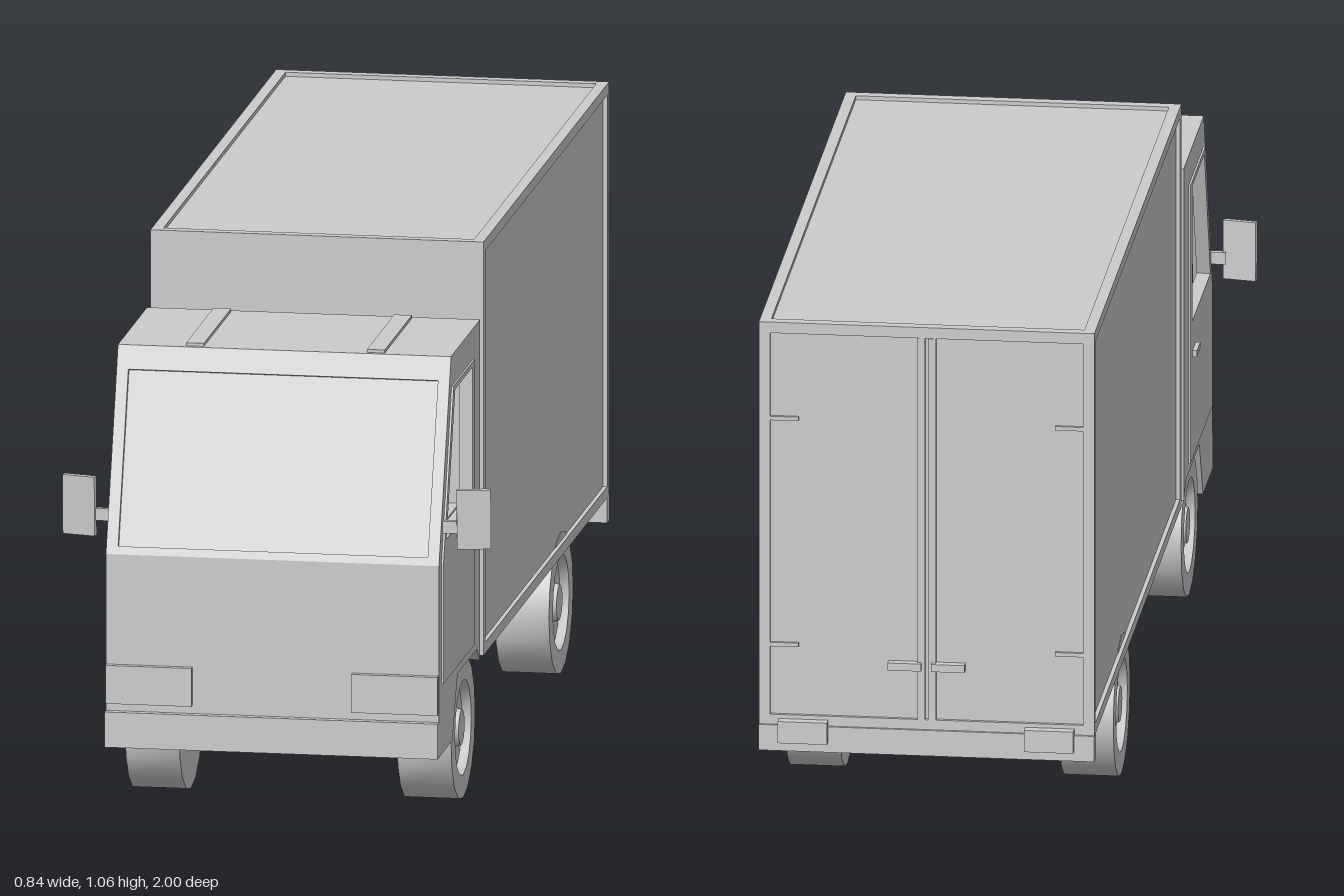
import * as THREE from 'three';
import { toCreasedNormals } from 'three/addons/utils/BufferGeometryUtils.js';

const material = new THREE.MeshStandardMaterial({ color: 0xcccccc });

function add(parent, name, geometry) {
  const mesh = new THREE.Mesh(geometry, material);
  mesh.name = name;
  parent.add(mesh);
  return mesh;
}

// Box given by its lower and upper limits on each axis
function box(parent, name, x0, x1, y0, y1, z0, z1) {
  const mesh = add(parent, name, new THREE.BoxGeometry(x1 - x0, y1 - y0, z1 - z0));
  mesh.position.set((x0 + x1) / 2, (y0 + y1) / 2, (z0 + z1) / 2);
  return mesh;
}

const points = (list) => list.map(([a, b]) => new THREE.Vector2(a, b));

// Side outline in (z, y), extruded across x from x0 to x1
function slab(parent, name, outline, x0, x1, hole) {
  const shape = new THREE.Shape(points(outline));
  if (hole) shape.holes.push(new THREE.Path(points(hole)));
  const geometry = new THREE.ExtrudeGeometry(shape, { depth: x1 - x0, bevelEnabled: false });
  geometry.rotateY(-Math.PI / 2).translate(x1, 0, 0);
  return add(parent, name, geometry);
}

// Flat rectangular border, centred, rising along +z
function frame(parent, name, w, h, border, depth) {
  const rect = (a, b) => points([[-a, -b], [a, -b], [a, b], [-a, b]]);
  const shape = new THREE.Shape(rect(w / 2, h / 2));
  shape.holes.push(new THREE.Path(rect(w / 2 - border, h / 2 - border)));
  return add(parent, name, new THREE.ExtrudeGeometry(shape, { depth, bevelEnabled: false }));
}

function buildCargo() {
  const cargo = new THREE.Group();
  cargo.name = 'cargoBox';
  box(cargo, 'cargoCore', -0.319, 0.319, 0.24, 1.052, -0.973, 0.47);

  // Raised borders around the side, roof and rear panels
  for (const s of [-1, 1]) {
    const side = frame(cargo, 'sideFrame', 1.45, 0.82, 0.022, 0.008);
    side.rotation.y = s * Math.PI / 2;
    side.position.set(s * 0.319, 0.65, -0.255);
  }
  const roof = frame(cargo, 'roofFrame', 0.654, 1.45, 0.022, 0.008);
  roof.rotation.x = -Math.PI / 2;
  roof.position.set(0, 1.052, -0.255);
  const rear = frame(cargo, 'rearFrame', 0.654, 0.82, 0.022, 0.008);
  rear.rotation.y = Math.PI;
  rear.position.set(0, 0.65, -0.972);

  // Rear doors: locking bars, handles and hinges
  for (const s of [-1, 1]) {
    const bar = (name, a, b, y0, y1, z0) =>
      box(cargo, name, Math.min(s * a, s * b), Math.max(s * a, s * b), y0, y1, z0, -0.97);
    bar('lockingBar', 0.003, 0.018, 0.262, 1.038, -0.981);
    bar('doorHandle', 0.01, 0.075, 0.363, 0.378, -0.99);
    for (const y of [0.4, 0.86]) bar('doorHinge', 0.25, 0.31, y, y + 0.008, -0.979);
  }
  return cargo;
}

function buildCab() {
  const cab = new THREE.Group();
  cab.name = 'cab';
  const arch = [[0.51, 0.24], [0.55, 0.27], [0.77, 0.27], [0.83, 0.15]];

  // Lower body with wheel arches, open above for the interior
  slab(cab, 'lowerBody', [...arch, [0.985, 0.15], [0.985, 0.53], [0.93, 0.53],
    [0.93, 0.46], [0.51, 0.46]], -0.305, 0.305);
  box(cab, 'rearWall', -0.306, 0.306, 0.44, 0.912, 0.51, 0.535);
  box(cab, 'roof', -0.306, 0.306, 0.89, 0.915, 0.51, 0.845);

  const sideOutline = [...arch, [0.985, 0.15], [0.985, 0.53], [0.845, 0.915], [0.51, 0.915]];
  const window = [[0.62, 0.57], [0.92, 0.57], [0.82, 0.845], [0.62, 0.845]];
  const door = [[0.59, 0.29], [0.955, 0.29], [0.955, 0.53], [0.838, 0.855], [0.59, 0.855]];
  for (const s of [-1, 1]) {
    const span = (a, b) => (s > 0 ? [a, b] : [-b, -a]);
    slab(cab, 'sidePanel', sideOutline, ...span(0.304, 0.327), window);
    slab(cab, 'door', door, ...span(0.326, 0.331), window);
    box(cab, 'doorHandle', ...span(0.327, 0.34), 0.497, 0.51, 0.62, 0.675);
    box(cab, 'roofStrip', ...span(0.16, 0.195), 0.91, 0.921, 0.52, 0.835);
    box(cab, 'headlight', ...span(0.157, 0.326), 0.236, 0.312, 0.97, 0.998);

    // Mirror on its arm
    box(cab, 'mirrorArm', ...span(0.32, 0.36), 0.586, 0.61, 0.93, 0.942);
    const mirror = add(cab, 'mirror', new THREE.BoxGeometry(0.066, 0.118, 0.012));
    mirror.position.set(s * 0.387, 0.615, 0.936);
    mirror.rotation.set(0.04, s * 0.2, 0);
  }

  // Sloping windscreen: frame with a recessed pane
  const screen = new THREE.Group();
  screen.name = 'windscreen';
  screen.position.set(0, 0.53, 0.985);
  screen.rotation.x = -Math.atan2(0.14, 0.385);
  const rect = (w, y0, y1) => points([[-w, y0], [w, y0], [w, y1], [-w, y1]]);
  const surround = new THREE.Shape(rect(0.327, 0, 0.4097));
  surround.holes.push(new THREE.Path(rect(0.316, 0.016, 0.362)));
  add(screen, 'windscreenFrame',
    new THREE.ExtrudeGeometry(surround, { depth: 0.02, bevelEnabled: false })).position.z = -0.02;
  box(screen, 'windscreenPane', -0.318, 0.318, 0.01, 0.37, -0.018, -0.009);
  cab.add(screen);

  // Bumper, bench seat and dashboard lip
  box(cab, 'bumper', -0.327, 0.327, 0.15, 0.22, 0.97, 1.0);
  box(cab, 'benchSeat', -0.29, 0.29, 0.45, 0.555, 0.53, 0.7);
  const dash = box(cab, 'dashboard', -0.3, 0.3, 0.53, 0.615, 0.878, 0.895);
  dash.rotation.x = -0.2;
  return cab;
}

function buildWheel(side, z) {
  // Tyre, recessed rim and hub in one turned profile
  const profile = points([[0, -0.053], [0.14, -0.053], [0.14, 0.053], [0.094, 0.053],
    [0.086, 0.036], [0.04, 0.036], [0.035, 0.05], [0, 0.05]]);
  const geometry = toCreasedNormals(new THREE.LatheGeometry(profile, 16), 0.5);
  geometry.rotateZ(-side * Math.PI / 2);
  const wheel = new THREE.Mesh(geometry, material);
  wheel.name = z > 0 ? 'frontWheel' : 'rearWheel';
  wheel.position.set(side * 0.267, 0.14, z);
  return wheel;
}

export function createModel() {
  const truck = new THREE.Group();
  truck.name = 'boxTruck';
  truck.add(buildCargo(), buildCab());

  // Chassis with its tail swept up
  slab(truck, 'chassis', [[0.97, 0.152], [0.97, 0.245], [-0.8, 0.245], [-0.8, 0.205],
    [-0.68, 0.152]].reverse(), -0.205, 0.205);

  // Tapered plate bridging the cab and cargo box
  const plate = new THREE.Shape(points([[-0.327, -0.46], [-0.2, -0.512], [0.2, -0.512], [0.327, -0.46]]));
  const bridge = add(truck, 'bridgePlate',
    new THREE.ExtrudeGeometry(plate, { depth: 0.028, bevelEnabled: false }));
  bridge.rotation.x = -Math.PI / 2;
  bridge.position.y = 0.238;

  // Rear bumper bar with lamps
  box(truck, 'rearBumper', -0.327, 0.327, 0.19, 0.242, -0.985, -0.957);
  for (const s of [-1, 1]) {
    box(truck, 'tailLamp', s * 0.24 - 0.048, s * 0.24 + 0.048, 0.21, 0.254, -1.0, -0.975);
    for (const z of [0.665, -0.465]) truck.add(buildWheel(s, z));
  }
  return truck;
}
